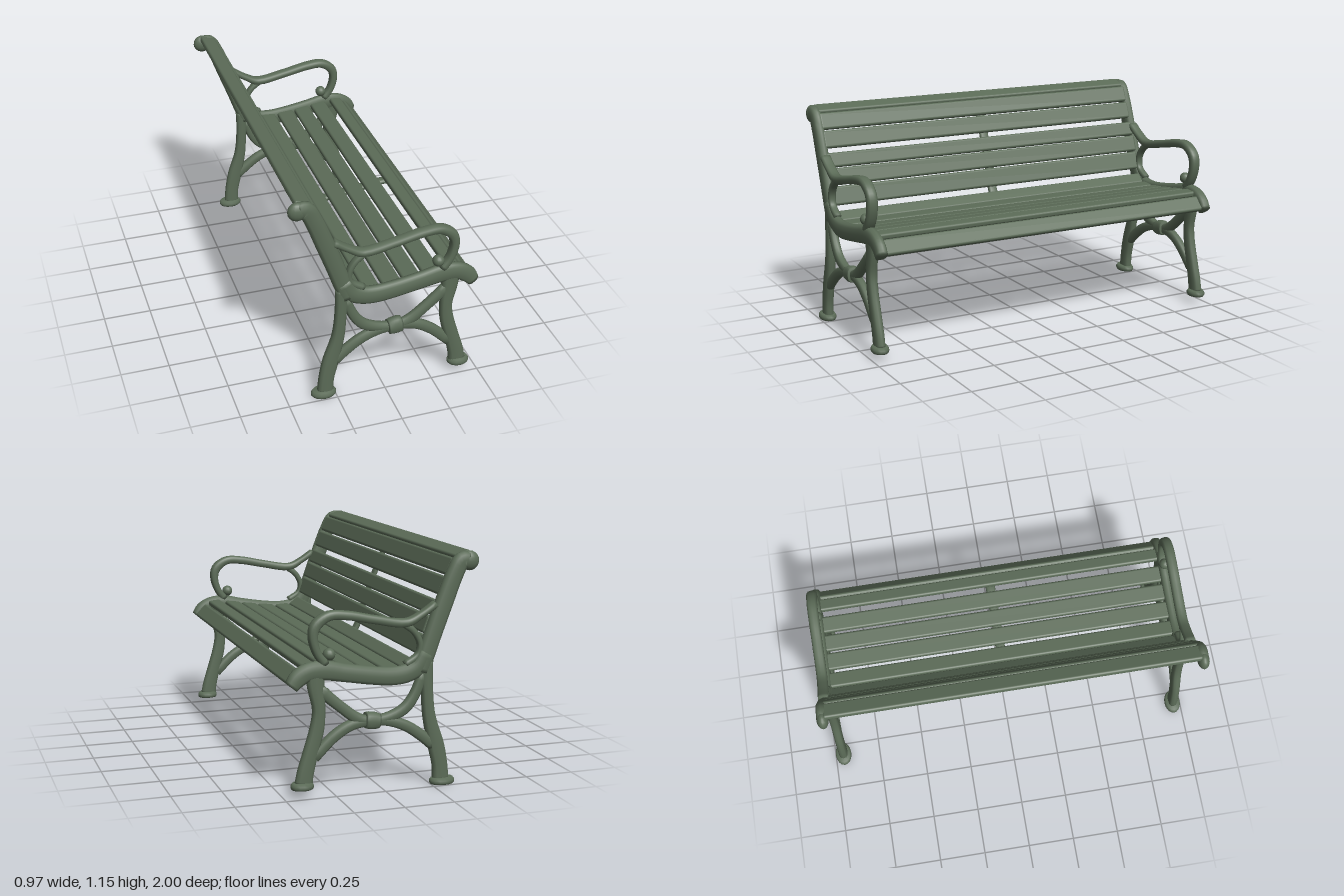
import * as THREE from 'three';
import { RoundedBoxGeometry } from 'three/addons/geometries/RoundedBoxGeometry.js';

const paint = new THREE.MeshStandardMaterial({ color: 0x5b6b57 });
paint.name = 'green paint';

// Sweeps a rounded bar along a path in the xy plane.
// Each path point is [x, y, half width]; depth is the half thickness in z.
function bar(name, path, depth, steps = 24, sides = 12) {
  const curve = new THREE.CatmullRomCurve3(path.map(p => new THREE.Vector3(...p)));
  const soft = v => Math.sign(v) * Math.pow(Math.abs(v), 0.75);
  const pos = [], index = [];
  for (let i = 0; i <= steps; i++) {
    const p = curve.getPoint(i / steps), t = curve.getTangent(i / steps);
    const len = Math.hypot(t.x, t.y);
    for (let j = 0; j < sides; j++) {
      const a = (j / sides) * Math.PI * 2;
      const w = soft(Math.cos(a)) * p.z;
      pos.push(p.x - (t.y / len) * w, p.y + (t.x / len) * w, soft(Math.sin(a)) * depth);
    }
  }
  const first = pos.length / 3, last = first + 1;
  pos.push(path[0][0], path[0][1], 0, path.at(-1)[0], path.at(-1)[1], 0);
  for (let j = 0; j < sides; j++) {
    const k = (j + 1) % sides, e = steps * sides;
    for (let i = 0; i < steps; i++) {
      const a = i * sides, b = a + sides;
      index.push(a + j, a + k, b + j, a + k, b + k, b + j);
    }
    index.push(first, k, j, last, e + j, e + k);
  }
  const geo = new THREE.BufferGeometry();
  geo.setAttribute('position', new THREE.Float32BufferAttribute(pos, 3));
  geo.setIndex(index);
  geo.computeVertexNormals();
  return mesh(name, geo);
}

function mesh(name, geo, x = 0, y = 0, z = 0) {
  const m = new THREE.Mesh(geo, paint);
  m.name = name;
  m.position.set(x, y, z);
  return m;
}

// Rounded foot pad
function foot(name, x, y, rx) {
  const profile = [[0, 0], [0.9, 0], [1, 0.008], [1, 0.02], [0.85, 0.032], [0, 0.036]];
  const m = mesh(name, new THREE.LatheGeometry(profile.map(p => new THREE.Vector2(...p)), 16), x, y, 0);
  m.scale.set(rx, 1, 0.044);
  return m;
}

// One cast end frame, centred on z = 0
function endFrame() {
  const g = new THREE.Group();
  g.name = 'endFrame';
  g.add(
    bar('backPost', [[-0.43, 1.1, 0.04], [-0.395, 1.1, 0.042], [-0.36, 1.04, 0.044], [-0.305, 0.9, 0.046],
      [-0.25, 0.75, 0.045], [-0.212, 0.64, 0.044], [-0.19, 0.57, 0.035]], 0.028),
    bar('seatRail', [[-0.215, 0.66, 0.04], [-0.175, 0.595, 0.045], [-0.12, 0.567, 0.046], [-0.05, 0.558, 0.046],
      [0.05, 0.567, 0.045], [0.2, 0.592, 0.045], [0.3, 0.61, 0.048], [0.38, 0.606, 0.045],
      [0.43, 0.578, 0.044], [0.462, 0.54, 0.034]], 0.029, 32),
    bar('rearLeg', [[-0.213, 0.63, 0.04], [-0.222, 0.5, 0.03], [-0.236, 0.35, 0.032],
      [-0.275, 0.2, 0.042], [-0.296, 0.1, 0.04], [-0.302, 0.02, 0.042]], 0.025),
    bar('frontLeg', [[0.345, 0.61, 0.05], [0.34, 0.53, 0.042], [0.326, 0.42, 0.032], [0.335, 0.33, 0.036],
      [0.365, 0.22, 0.038], [0.392, 0.12, 0.042], [0.402, 0.06, 0.045]], 0.025),
    bar('upperBrace', [[-0.2, 0.56, 0.024], [-0.16, 0.46, 0.026], [-0.11, 0.395, 0.028], [-0.03, 0.358, 0.026],
      [0.06, 0.347, 0.026], [0.13, 0.363, 0.028], [0.22, 0.43, 0.027], [0.33, 0.525, 0.03]], 0.022),
    bar('lowerBrace', [[-0.26, 0.2, 0.03], [-0.2, 0.25, 0.028], [-0.12, 0.305, 0.027], [-0.03, 0.338, 0.026],
      [0.06, 0.347, 0.026], [0.16, 0.335, 0.027], [0.25, 0.285, 0.028], [0.35, 0.19, 0.028]], 0.022),
    bar('braceKnot', [[0.022, 0.344, 0.035], [0.04, 0.346, 0.041], [0.075, 0.35, 0.043], [0.093, 0.351, 0.038]], 0.034, 8),
    bar('armrest', [[-0.26, 0.895, 0.018], [-0.19, 0.85, 0.017], [-0.115, 0.814, 0.022], [0.05, 0.838, 0.022],
      [0.19, 0.866, 0.023], [0.28, 0.868, 0.024], [0.342, 0.825, 0.026], [0.355, 0.77, 0.023],
      [0.335, 0.695, 0.02], [0.295, 0.64, 0.022]], 0.028, 40),
    bar('armBranch', [[-0.1, 0.81, 0.018], [-0.155, 0.765, 0.016], [-0.183, 0.71, 0.015], [-0.175, 0.655, 0.016],
      [-0.11, 0.61, 0.018]], 0.02),
    foot('rearFoot', -0.31, 0, 0.065),
    foot('frontFoot', 0.408, 0.04, 0.057));
  // Scrolls at the top of the post and under the arm
  const scroll = (name, x, y, r, w) => {
    const m = mesh(name, new THREE.SphereGeometry(1, 16, 10), x, y, 0);
    m.scale.set(r, r, w);
    g.add(m);
  };
  scroll('postScroll', -0.435, 1.097, 0.048, 0.03);
  scroll('armScroll', 0.275, 0.685, 0.03, 0.03);
  return g;
}

export function createModel() {
  const bench = new THREE.Group();
  bench.name = 'bench';

  for (const side of [1, -1]) {
    const f = endFrame();
    f.name = side > 0 ? 'leftEndFrame' : 'rightEndFrame';
    f.position.z = side * 0.956;
    bench.add(f);
  }

  // Slats: [x, y, width, tilt]
  const slats = (name, list) => list.forEach(([x, y, w, tilt]) => {
    const s = mesh(name, new RoundedBoxGeometry(w, 0.032, 1.9, 3, 0.012), x, y, 0);
    s.rotation.z = tilt;
    bench.add(s);
  });
  slats('seatSlat', [
    [-0.143, 0.596, 0.075, -0.6], [-0.06, 0.575, 0.085, -0.05], [0.046, 0.58, 0.095, 0.1],
    [0.148, 0.593, 0.09, 0.13], [0.25, 0.608, 0.09, 0.13], [0.36, 0.62, 0.07, -0.1], [0.435, 0.574, 0.088, -0.8]]);
  slats('backSlat', [
    [-0.202, 0.697, 0.1, 1.9], [-0.23, 0.793, 0.09, 1.92], [-0.263, 0.875, 0.078, 1.94],
    [-0.306, 0.978, 0.094, 1.95], [-0.345, 1.068, 0.09, 2.0], [-0.405, 1.122, 0.085, 2.85]]);

  // Strap under the seat and behind the back at mid length
  bench.add(bar('centreStrap', [[-0.385, 1.08, 0.012], [-0.335, 0.97, 0.012], [-0.29, 0.86, 0.012],
    [-0.245, 0.74, 0.012], [-0.212, 0.63, 0.014], [-0.165, 0.563, 0.015], [-0.06, 0.538, 0.015],
    [0.1, 0.555, 0.015], [0.25, 0.577, 0.015], [0.35, 0.587, 0.015], [0.41, 0.555, 0.014]], 0.026, 40));
  return bench;
}
